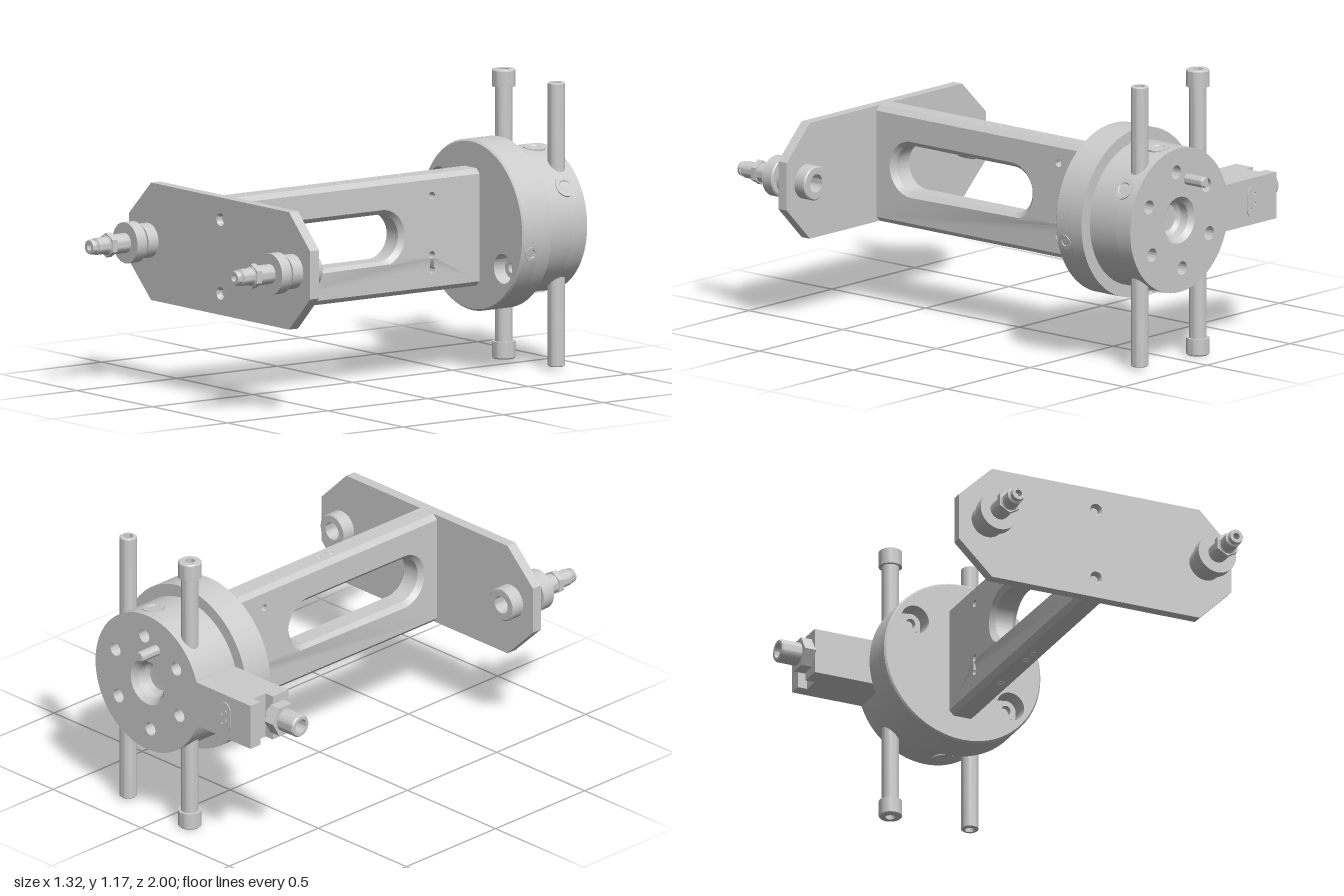
import * as THREE from 'three';
import { toCreasedNormals } from 'three/addons/utils/BufferGeometryUtils.js';

const CX = 0.06, CY = 0.59; // main axis, running along z

export function createModel() {
  const model = new THREE.Group();
  const mat = new THREE.MeshStandardMaterial({ color: 0xcccccc });
  const matDouble = new THREE.MeshStandardMaterial({ color: 0xcccccc, side: THREE.DoubleSide });

  const add = (name, geo, x = 0, y = 0, z = 0, material = mat) => {
    const mesh = new THREE.Mesh(toCreasedNormals(geo, 0.6), material);
    mesh.name = name;
    mesh.position.set(x, y, z);
    model.add(mesh);
    return mesh;
  };
  const poly = pts => new THREE.Shape(pts.map(p => new THREE.Vector2(...p)));
  const circle = (x, y, r) => new THREE.Shape().absarc(x, y, r, 0, Math.PI * 2, false);
  const capsule = (x0, x1, y, r) => {
    const s = new THREE.Shape();
    s.absarc(x1, y, r, -Math.PI / 2, Math.PI / 2, false);
    s.absarc(x0, y, r, Math.PI / 2, Math.PI * 1.5, false);
    return s;
  };
  // Slab between two depths, optionally bored
  const slab = (shape, z0, z1, holes = [], seg = 24) => {
    shape.holes.push(...holes);
    return new THREE.ExtrudeGeometry(shape, { depth: z1 - z0, bevelEnabled: false, curveSegments: seg })
      .translate(0, 0, z0);
  };
  const lathe = (pts, seg = 32) => new THREE.LatheGeometry(pts.map(p => new THREE.Vector2(...p)), seg);

  // Front plate with clipped corners, two screw holes and two probe holes
  const probeX = [-0.42, 0.54];
  const plate = poly([[-0.4, 0.35], [0.515, 0.35], [0.655, 0.49], [0.655, 0.685],
    [0.515, 0.825], [-0.4, 0.825], [-0.545, 0.685], [-0.545, 0.49]]);
  add('frontPlate', slab(plate, 0.66, 0.705, [
    circle(CX, 0.735, 0.026), circle(CX, 0.437, 0.026),
    ...probeX.map(x => circle(x, CY, 0.055))]));
  for (const y of [0.735, 0.437])
    add('plateScrewSeat', lathe([[0.026, 0.045], [0.017, 0.03], [0.017, 0.022]], 24)
      .rotateX(Math.PI / 2), CX, y, 0.66, matDouble);

  // Web: chamfered bar with a long slot and three cross holes (drawn in -z, y)
  const web = poly([[-0.68, 0.35], [0.57, 0.35], [0.57, 0.825], [-0.68, 0.825]]);
  const crossHoles = [[0.31, 0.74], [0.31, 0.5], [0.31, 0.44]];
  web.holes.push(capsule(-0.475, 0.06, CY, 0.095), ...crossHoles.map(h => circle(...h, 0.015)));
  const webGeo = new THREE.ExtrudeGeometry(web, { depth: 0.075, bevelThickness: 0.02,
    bevelSize: 0.02, bevelOffset: -0.02, bevelSegments: 1, curveSegments: 16 });
  // Keep the cross holes straight instead of chamfered
  const p = webGeo.attributes.position;
  for (let i = 0; i < p.count; i++)
    for (const [hx, hy] of crossHoles) {
      const dx = p.getX(i) - hx, dy = p.getY(i) - hy, d = Math.hypot(dx, dy);
      if (d < 0.04 && Math.abs(dy) < 0.038 && d > 0)
        p.setXY(i, hx + dx / d * 0.015, hy + dy / d * 0.015);
    }
  add('web', webGeo.rotateY(Math.PI / 2), 0.02, 0, 0);

  // Dowel seats on the top and bottom edges of the web
  for (const y of [0.825, 0.35])
    for (const z of [-0.19, 0.05, 0.115])
      add('dowelSeat', new THREE.TorusGeometry(0.014, 0.003, 6, 20).rotateX(Math.PI / 2), 0.0575, y, z);

  // Probes: stepped sleeves through the plate, with a hexagon near the tip
  probeX.forEach((x, i) => {
    add('probe', lathe([[0.037, 0.605], [0.065, 0.605], [0.07, 0.61], [0.07, 0.755], [0.05, 0.755],
      [0.05, 0.767], [0.078, 0.767], [0.083, 0.772], [0.083, 0.82], [0.04, 0.82], [0.04, 0.915],
      [0.034, 0.92], [0.034, 0.97], [0.026, 0.975], [0.026, 0.985], [0.031, 0.988], [0.028, 1],
      [0.014, 1], [0.014, 0.75], [0.037, 0.75], [0.037, 0.605]]).rotateX(Math.PI / 2), x, CY, 0);
    const hex = new THREE.Shape();
    for (let k = 0; k < 6; k++) {
      const a = k * Math.PI / 3 + Math.PI / 6;
      k ? hex.lineTo(0.05 * Math.cos(a), 0.05 * Math.sin(a)) : hex.moveTo(0.05 * Math.cos(a), 0.05 * Math.sin(a));
    }
    add('probeNut', slab(hex, 0.89, 0.915, [circle(0, 0, 0.03)]), x, CY, 0);
    if (i === 0)
      add('probeCore', new THREE.CylinderGeometry(0.0145, 0.0145, 0.2, 16).rotateX(Math.PI / 2), x, CY, 0.87);
  });

  // Flange: large disc with two counterbored screws
  const screws = [[-0.21, 0.15], [0.21, -0.15]];
  add('flangeFront', slab(circle(0, 0, 0.345), -0.63, -0.555,
    screws.map(s => circle(...s, 0.06)), 36), CX, CY, 0);
  add('flangeRim', lathe([[0.338, 0], [0.345, -0.007]], 72).rotateX(Math.PI / 2), CX, CY, -0.548, matDouble);
  add('flangeFace', slab(circle(0, 0, 0.338), -0.556, -0.548,
    screws.map(s => circle(...s, 0.06)), 36), CX, CY, 0);
  add('flangeBack', slab(circle(0, 0, 0.345), -0.69, -0.63, [], 36), CX, CY, 0);
  for (const [x, y] of screws)
    add('flangeScrew', lathe([[0.042, 0], [0.042, 0.04], [0.02, 0.04], [0.02, 0.015], [0, 0.015]], 24)
      .rotateX(Math.PI / 2), CX + x, CY + y, -0.63);

  // Hub: rear disc with a bolt circle and a central recess
  const bolts = [];
  for (let k = 0; k < 6; k++) {
    const a = (25 + 60 * k) * Math.PI / 180;
    bolts.push(circle(0.2 * Math.cos(a), 0.2 * Math.sin(a), 0.028));
  }
  add('hub', slab(circle(0, 0, 0.295), -0.83, -0.69, [], 36), CX, CY, 0);
  add('hubFace', slab(circle(0, 0, 0.295), -0.905, -0.83, [circle(0, 0, 0.095), ...bolts], 36), CX, CY, 0);
  add('hubRecess', lathe([[0.095, -0.905], [0.075, -0.885], [0.07, -0.85], [0.055, -0.835], [0, -0.832]], 40)
    .rotateX(Math.PI / 2), CX, CY, 0, matDouble);
  add('locatingPin', lathe([[0, -1], [0.017, -1], [0.022, -0.995], [0.022, -0.88], [0, -0.88]], 24)
    .rotateX(Math.PI / 2), 0.01, 0.75, 0);

  // Radial screw seats around the rims
  for (const [deg, r, z, size] of [[82, 0.295, -0.83, 0.045], [33, 0.295, -0.83, 0.045],
    [-82, 0.295, -0.83, 0.045], [-13, 0.345, -0.595, 0.03]]) {
    const a = deg * Math.PI / 180;
    add('radialScrew', lathe([[size, -0.02], [size, 0.003], [size * 0.6, 0.003], [size * 0.5, -0.002], [0, -0.002]], 24)
      .rotateZ(a - Math.PI / 2), CX + r * Math.cos(a), CY + r * Math.sin(a), z);
  }

  // Rods: capped pair on one side, plain pair on the other, mirrored up and down
  const rodEnd = (top, r) => [[r - 0.005, top], [0.02, top], [0.02, top - 0.03], [0, top - 0.03]];
  for (const up of [true, false]) {
    const flip = g => up ? g : g.rotateX(Math.PI);
    add('cappedRod', flip(lathe([[0.035, 0.17], [0.035, 0.515], [0.047, 0.515], [0.047, 0.58],
      ...rodEnd(0.585, 0.047)])), -0.12, 0.585, -0.845);
    add('plainRod', flip(lathe([[0.035, 0.17], [0.035, 0.57], ...rodEnd(0.574, 0.035)])), 0.23, 0.587, -0.845);
  }

  // Side arm, outlined from above (x, -z), with a notch at its end
  const arm = poly([[-0.15, 0.905], [-0.525, 0.905], [-0.525, 0.85], [-0.485, 0.85], [-0.485, 0.78],
    [-0.525, 0.78], [-0.525, 0.692], [-0.15, 0.692]].reverse());
  add('sideArm', slab(arm, 0.495, 0.685).rotateX(-Math.PI / 2));

  // Contact window on the back of the arm
  const dots = [-0.03, -0.01, 0.01, 0.03].map((u, i) => circle(u, i % 2 ? 0.012 : -0.012, 0.007));
  add('contactWindow', slab(capsule(-0.03, 0.03, 0, 0.033), -0.004, 0.002, dots, 12)
    .rotateZ(Math.PI / 2), -0.38, CY, -0.905);

  // Cable connector on the end of the arm
  add('connectorNut', new THREE.CylinderGeometry(0.07, 0.07, 0.05, 6).rotateZ(Math.PI / 2), -0.547, CY, -0.755);
  add('connector', lathe([[0.047, 0], [0.047, 0.15], [0.042, 0.157], [0.03, 0.157], [0.03, 0.1], [0, 0.1]])
    .rotateZ(Math.PI / 2), -0.503, CY, -0.755);
  return model;
}
